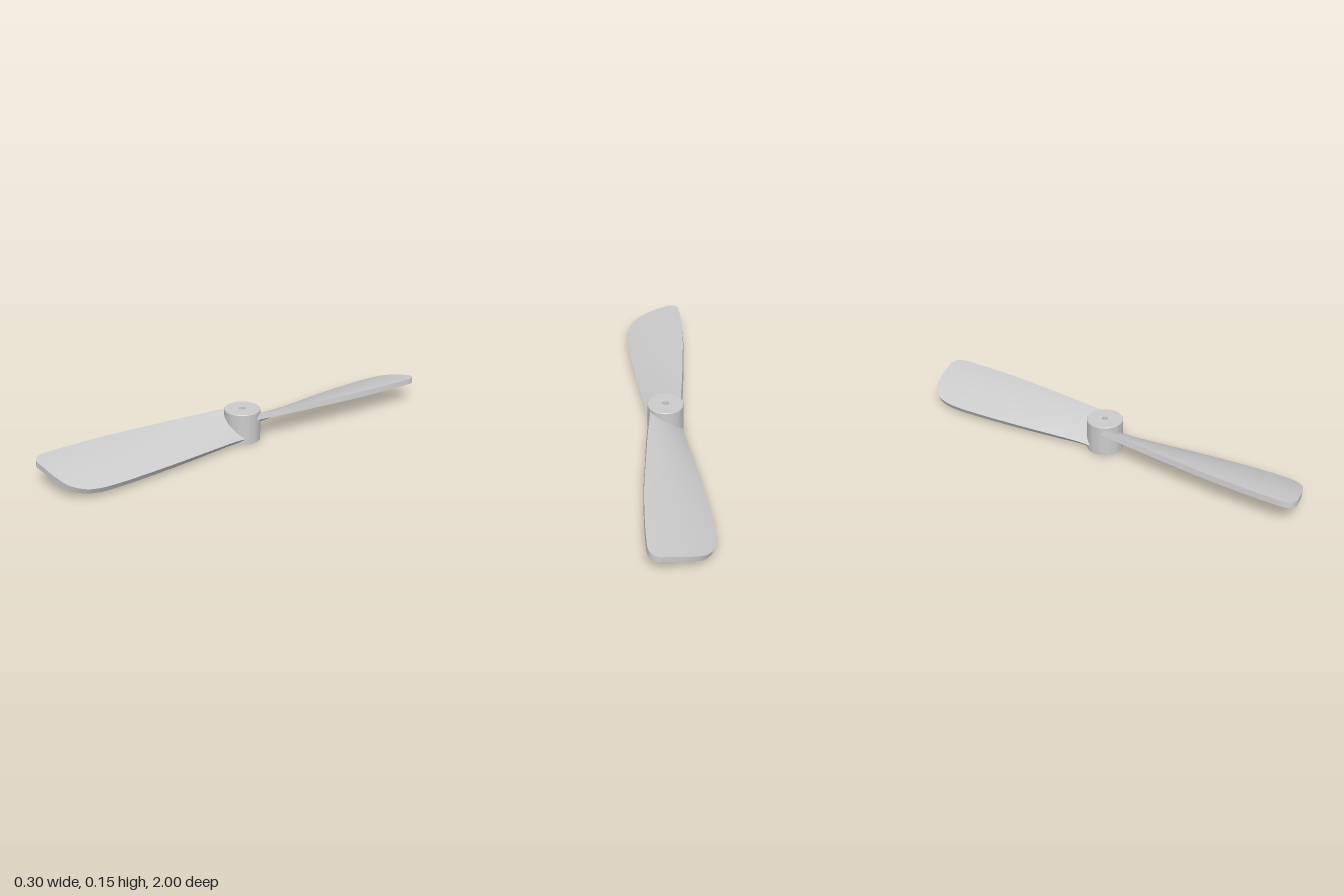
import * as THREE from 'three';
import { mergeGeometries, toCreasedNormals } from 'three/addons/utils/BufferGeometryUtils.js';

const THICKNESS = 0.027;

// Blade outline seen from above, as [x, z]; both edges meet at the tip
const outline = (pts) =>
  new THREE.CatmullRomCurve3(pts.map(([x, z]) => new THREE.Vector3(x, 0, z)), false, 'centripetal');
const highEdge = outline([[-0.072, 0.02], [-0.082, 0.1], [-0.098, 0.22], [-0.12, 0.42], [-0.138, 0.6],
  [-0.147, 0.78], [-0.149, 0.9], [-0.147, 0.95], [-0.138, 0.977], [-0.122, 0.992], [-0.095, 1]]);
const lowEdge = outline([[0.077, 0.02], [0.083, 0.1], [0.097, 0.22], [0.119, 0.42], [0.134, 0.6],
  [0.141, 0.75], [0.138, 0.84], [0.122, 0.9], [0.085, 0.948], [0.02, 0.977], [-0.095, 1]]);

// Twisted, cambered blade: point on the top (depth 0) or underside (depth 1)
function bladePoint(u, v, depth) {
  // crowd the samples towards the rounded tip
  const s = 1 - (1 - v) ** 1.4;
  const p = highEdge.getPoint(s).lerp(lowEdge.getPoint(s), u);
  const half = 0.078 + 0.068 * Math.sin(Math.min(1, p.z / 0.75) * Math.PI / 2);
  const yHigh = 0.14 - 0.014 * p.z;
  const yLow = 0.023 + 0.022 * p.z;
  const camber = 0.017 - 0.004 * p.z;
  const c = p.x / half;
  p.y = (yHigh + yLow) / 2 + (yLow - yHigh) / 2 * c + camber * (1 - c * c);
  const slope = ((yLow - yHigh) / 2 - 2 * camber * c) / half;
  const normal = new THREE.Vector3(-slope, 1, 0).normalize();
  return p.addScaledVector(normal, -THICKNESS * depth);
}

// Smooth grid surface from a function of (u, v)
function surface(fn, nu, nv) {
  const pos = [], index = [];
  for (let j = 0; j <= nv; j++) {
    for (let i = 0; i <= nu; i++) pos.push(...fn(i / nu, j / nv).toArray());
  }
  for (let j = 0; j < nv; j++) {
    for (let i = 0; i < nu; i++) {
      const a = j * (nu + 1) + i, b = a + nu + 1;
      index.push(a, b, a + 1, b, b + 1, a + 1);
    }
  }
  const geo = new THREE.BufferGeometry();
  geo.setAttribute('position', new THREE.Float32BufferAttribute(pos, 3));
  geo.setIndex(index);
  geo.computeVertexNormals();
  return geo;
}

export function createModel() {
  const group = new THREE.Group();
  group.name = 'propeller';
  const material = new THREE.MeshStandardMaterial({ color: 0xcccccc, side: THREE.DoubleSide });

  // Hub with a through bore and a softened top rim
  const profile = [[0.015, 0], [0.085, 0], [0.085, 0.147], [0.082, 0.151], [0.015, 0.151], [0.015, 0]]
    .map(([r, y]) => new THREE.Vector2(r, y));
  const hub = new THREE.Mesh(toCreasedNormals(new THREE.LatheGeometry(profile, 64), 0.5), material);
  hub.name = 'hub';
  group.add(hub);

  // Blade skin: top, underside and the two edge bands
  const bladeGeometry = mergeGeometries([
    surface((u, v) => bladePoint(u, v, 0), 16, 64),
    surface((u, v) => bladePoint(1 - u, v, 1), 16, 64),
    surface((u, v) => bladePoint(0, v, 1 - u), 1, 64),
    surface((u, v) => bladePoint(1, v, u), 1, 64),
  ]);
  ['frontBlade', 'backBlade'].forEach((name, i) => {
    const blade = new THREE.Mesh(bladeGeometry, material);
    blade.name = name;
    blade.rotation.y = i * Math.PI;
    group.add(blade);
  });
  return group;
}
